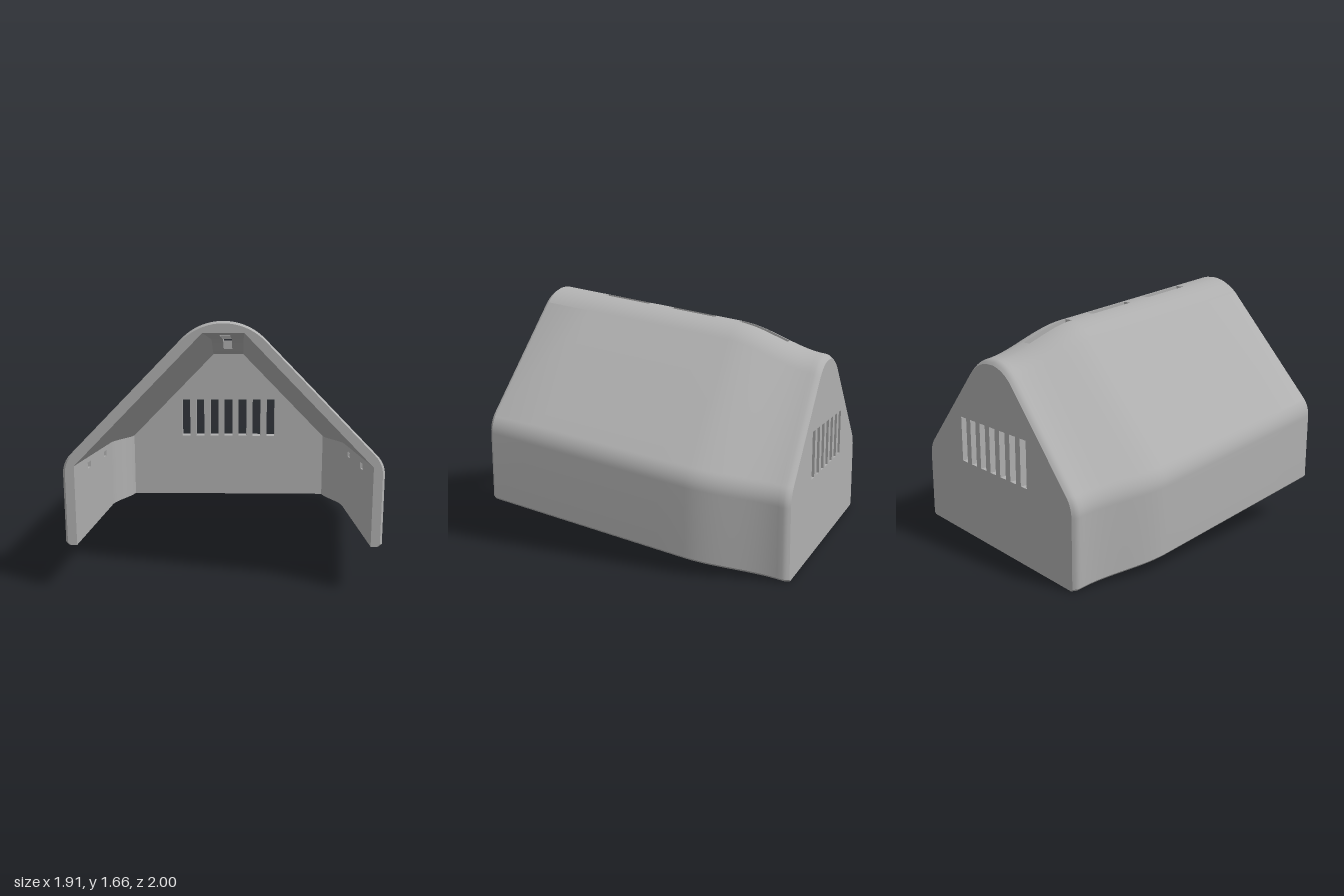
import * as THREE from 'three';
import { toCreasedNormals } from 'three/addons/utils/BufferGeometryUtils.js';

const SLOPE = 1.033;                       // roof pitch
const ROOF_ANGLE = Math.atan2(1, SLOPE);   // direction of the roof normal
const SLOT_X = 0.033;                      // half width of the ridge slots
const BACK = -0.93;                        // inner face of the back wall
const RIDGE_SLOTS = [[-0.72, -0.38], [-0.2, 0.13], [0.3, 0.645]];
const POCKETS = [[-0.16, -0.05], [0.46, 0.57]];
const POCKET_Y = [0.42, 0.46];

const lift = z => 0.1525 * (z + 1);        // the whole body leans upward to the front

// Inward taper toward the back
const taper = z => 0.107 * THREE.MathUtils.smoothstep(-0.38 - z, 0, 0.57);

// Taper plus the small front bevel and the rounded back edge
function outerInset(z) {
  const round = Math.max(0, (-0.96 - z) / 0.04);
  const bevel = Math.max(0, (z - 0.98) / 0.02);
  return taper(z) + 0.025 * round * round + 0.015 * bevel;
}

// Half section -> full section at z, running from +x over the ridge to -x
function section(half, z) {
  const all = [...half, ...half.map(([x, y]) => [-x, y]).reverse()];
  return all.map(([x, y]) => new THREE.Vector3(x, y + lift(z), z));
}

function outerSection(z) {
  const o = outerInset(z), w = 0.955 - o, apex = 1.502 - o;
  const s = Math.sin(ROOF_ANGLE), r = 0.17, R = 0.335;
  const half = [[w - 0.015, 0], [w, 0.015]];
  const arc = (cx, cy, rad, a0, a1, n) => {
    for (let i = 0; i <= n; i++) {
      const a = a0 + (a1 - a0) * i / n;
      half.push([cx + rad * Math.cos(a), cy + rad * Math.sin(a)]);
    }
  };
  arc(w - r, apex - SLOPE * (w - r) - r / s, r, 0, ROOF_ANGLE, 8);          // eave
  arc(0, apex - R / s, R, ROOF_ANGLE, Math.acos(SLOT_X / R), 10);           // ridge
  return section(half, z);
}

function innerSection(z) {
  const o = taper(z), w = 0.885 - o, top = 1.285 - o;
  return section([[w, 0], [w, POCKET_Y[0]], [w, POCKET_Y[1]],
    [w, top - SLOPE * (w - 0.12)], [0.12, top], [SLOT_X, top]], z);
}

// Stations along z, from front to back
const stations = [...new Set([1, 0.98, BACK, -0.96, -0.975, -0.988, -1,
  ...RIDGE_SLOTS.flat(), ...POCKETS.flat(),
  ...Array.from({ length: 18 }, (_, i) => +(-0.41 - i * 0.03).toFixed(2))])].sort((a, b) => b - a);
const innerStations = stations.filter(z => z >= BACK);

const within = (ranges, z) => ranges.some(([a, b]) => z > a && z < b);

// Collects quads and turns them into a geometry with sharp creases
class Quads {
  constructor() { this.pos = []; }
  quad(a, b, c, d) { for (const p of [a, b, c, a, c, d]) this.pos.push(p.x, p.y, p.z); }
  sheet(rows, skip, flip) {
    for (let i = 0; i + 1 < rows.length; i++)
      for (let j = 0; j + 1 < rows[0].length; j++) {
        if (skip((rows[i][0].z + rows[i + 1][0].z) / 2, j)) continue;
        const q = [rows[i][j], rows[i + 1][j], rows[i + 1][j + 1], rows[i][j + 1]];
        this.quad(...(flip ? q.reverse() : q));
      }
  }
  // Walls of an opening between two matching loops
  tube(a, b) {
    a.forEach((p, i) => {
      const k = (i + 1) % a.length;
      this.quad(p, a[k], b[k], b[i]);
    });
  }
  geometry() {
    const g = new THREE.BufferGeometry();
    g.setAttribute('position', new THREE.Float32BufferAttribute(this.pos, 3));
    return toCreasedNormals(g, 0.5);
  }
}

export function createModel() {
  const group = new THREE.Group();
  group.name = 'ventedCover';
  const grey = new THREE.MeshStandardMaterial({ color: 0xb0b0b0, side: THREE.DoubleSide });
  grey.name = 'grey plastic';
  const add = (name, geometry) => {
    const mesh = new THREE.Mesh(geometry, grey);
    mesh.name = name;
    group.add(mesh);
    return mesh;
  };
  const build = (name, fn) => { const q = new Quads(); fn(q); add(name, q.geometry()); };

  const outer = stations.map(outerSection);
  const inner = innerStations.map(innerSection);
  const nOut = outer[0].length, nIn = inner[0].length;

  // Outer skin with ridge slots left open
  build('outerShell', q => q.sheet(outer,
    (z, j) => j === (nOut - 2) / 2 && within(RIDGE_SLOTS, z), false));

  // Faceted inner skin with ridge slots and side pockets left open
  build('innerShell', q => q.sheet(inner,
    (z, j) => (j === (nIn - 2) / 2 && within(RIDGE_SLOTS, z)) ||
      ((j === 1 || j === nIn - 3) && within(POCKETS, z)), true));

  // Ridge slot walls
  build('ridgeSlots', q => {
    for (const [z0, z1] of RIDGE_SLOTS) {
      const idx = innerStations.map((z, i) => i).filter(i => innerStations[i] >= z0 && innerStations[i] <= z1);
      const loop = (rows, n) => [...idx.map(i => rows[i][n / 2 - 1]),
        ...idx.slice().reverse().map(i => rows[i][n / 2])];
      q.tube(loop(outer, nOut), loop(inner, nIn));
    }
  });

  // Shallow pockets inside both side walls
  build('sidePockets', q => {
    for (const side of [1, -1]) for (const [z0, z1] of POCKETS) {
      const loop = x => {
        const pts = [[z1, 0], [z1, 1], [z0, 1], [z0, 0]].map(([z, k]) =>
          new THREE.Vector3(side * x, POCKET_Y[k] + lift(z), z));
        return side > 0 ? pts : pts.reverse();
      };
      q.tube(loop(0.885), loop(0.915));
      q.quad(...loop(0.915));
    }
  });

  // Underside of the side walls and the back wall
  build('bottomEdge', q => {
    const lastIn = inner[inner.length - 1], lastOut = outer[outer.length - 1];
    for (let i = 0; i + 1 < outer.length; i++) {
      const a = inner[i] ?? lastIn, b = inner[i + 1] ?? lastIn;
      q.quad(outer[i][0], a[0], b[0], outer[i + 1][0]);
      q.quad(outer[i + 1][nOut - 1], b[nIn - 1], a[nIn - 1], outer[i][nOut - 1]);
    }
    q.quad(lastIn[0], lastIn[nIn - 1], lastOut[nOut - 1], lastOut[0]);
  });

  // Front rim
  const flat = pts => pts.map(p => new THREE.Vector2(p.x, p.y));
  const rim = new THREE.Shape([...flat(outer[0]), ...flat(inner[0]).reverse()]);
  add('frontRim', new THREE.ShapeGeometry(rim)).position.z = 1;

  // Back wall faces with seven vents
  const vents = Array.from({ length: 7 }, (_, i) => (i - 3) * 0.1155);
  const ventLoop = (x, z) => [[-1, 0.51], [-1, 0.815], [1, 0.815], [1, 0.51]]
    .map(([s, y]) => new THREE.Vector3(x + s * 0.032, y, z));
  const wall = pts => {
    const shape = new THREE.Shape(flat(pts));
    shape.holes = vents.map(x => new THREE.Path(flat(ventLoop(x, 0))));
    return new THREE.ShapeGeometry(shape);
  };
  add('backWallOutside', wall(outer[outer.length - 1]).rotateY(Math.PI)).position.z = -1;
  add('backWallInside', wall(inner[inner.length - 1])).position.z = BACK;
  build('backVents', q => vents.forEach(x => q.tube(ventLoop(x, -1), ventLoop(x, BACK))));

  return group;
}
